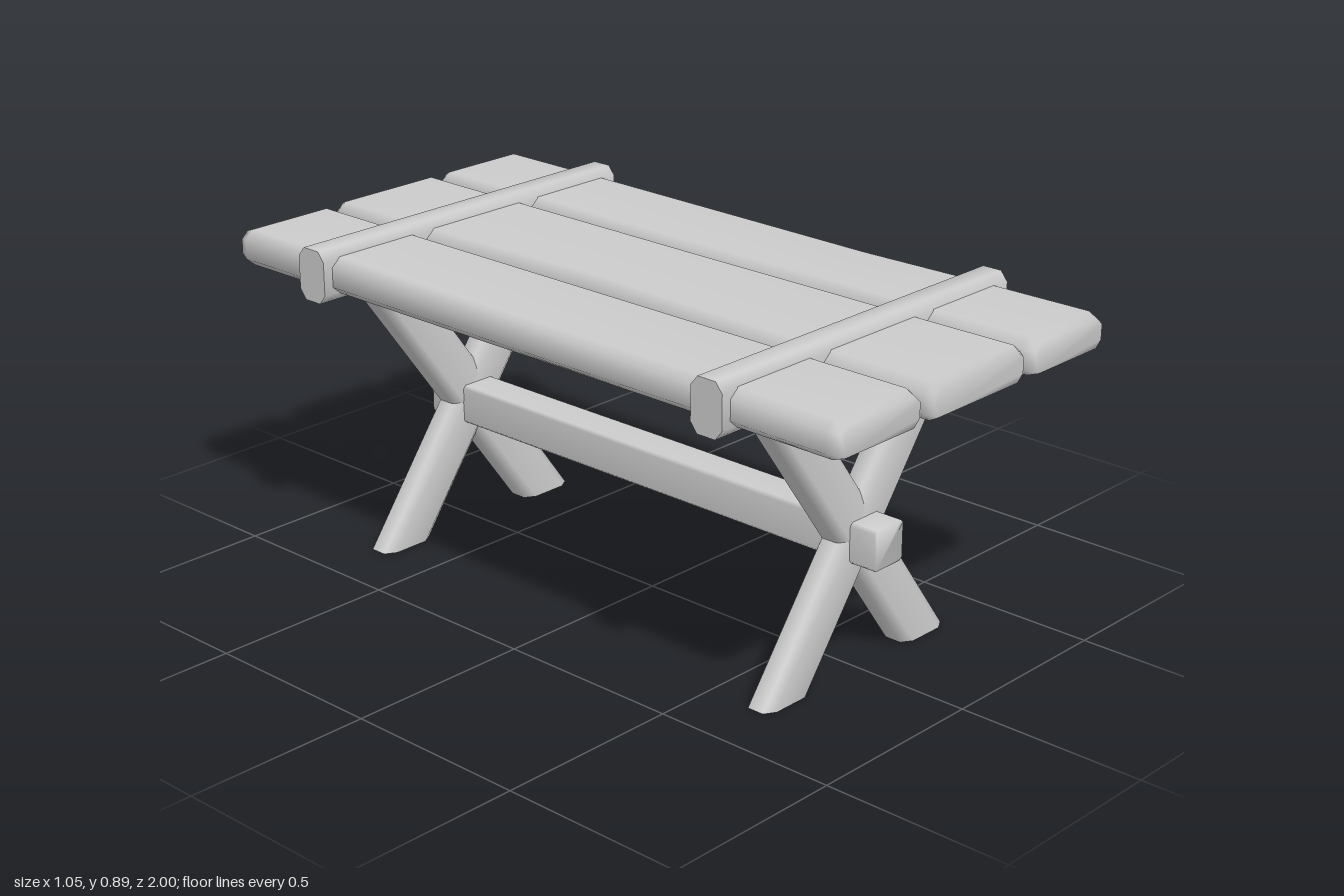
import * as THREE from 'three';

const material = new THREE.MeshStandardMaterial({ color: 0xcccccc });

// Axis orders: map (u, v, t) of a beam, t running along its length, to x, y, z
const alongX = (u, v, t) => [t, u, v];
const alongY = (u, v, t) => [v, t, u];
const alongZ = (u, v, t) => [u, v, t];

// Chamfered beam through sections [t, u0, u1, v0, v1, chamferU, chamferV]
function beam(name, place, sections, flatCaps = false) {
  const pos = [], index = [];
  const addRing = ([t, u0, u1, v0, v1, cu, cv]) => {
    const ring = [
      [u0 + cu, v0], [u1 - cu, v0], [u1, v0 + cv], [u1, v1 - cv],
      [u1 - cu, v1], [u0 + cu, v1], [u0, v1 - cv], [u0, v0 + cv],
    ];
    const start = pos.length / 3;
    for (const [u, v] of ring) pos.push(...place(u, v, t));
    return start;
  };
  const starts = sections.map(addRing);
  for (let s = 0; s + 1 < starts.length; s++) {
    for (let i = 0; i < 8; i++) {
      const j = (i + 1) % 8;
      const a = starts[s] + i, b = starts[s] + j;
      const c = starts[s + 1] + j, d = starts[s + 1] + i;
      index.push(a, b, c, a, c, d);
    }
  }
  const last = sections.length - 1;
  const first = flatCaps ? addRing(sections[0]) : starts[0];
  const end = flatCaps ? addRing(sections[last]) : starts[last];
  for (let i = 1; i < 7; i++) {
    index.push(first, first + i + 1, first + i);
    index.push(end, end + i, end + i + 1);
  }
  const geometry = new THREE.BufferGeometry();
  geometry.setAttribute('position', new THREE.Float32BufferAttribute(pos, 3));
  geometry.setIndex(index);
  geometry.computeVertexNormals();
  const mesh = new THREE.Mesh(geometry, material);
  mesh.name = name;
  return mesh;
}

// Plank along z; rows are [z, left edge, right edge], ends slightly pinched
function plank(name, rows) {
  const end = ([z, x0, x1]) =>
    [Math.sign(z), x0 + 0.012, x1 - 0.012, 0.78, 0.855, 0.02, 0.018];
  const body = rows.map(([z, x0, x1]) => [z, x0, x1, 0.77, 0.866, 0.026, 0.022]);
  return beam(name, alongZ, [end(rows[0]), ...body, end(rows[rows.length - 1])]);
}

// One X-shaped trestle with its cross bar over the planks
function trestle(name, z) {
  const group = new THREE.Group();
  group.name = name;
  for (const side of [1, -1]) {
    const section = (y) => {
      const x = side * (0.26 - 0.733 * y);
      return [y, -0.041, 0.041, x - 0.081, x + 0.081, 0.018, 0.03];
    };
    group.add(beam(side > 0 ? 'leftFootLeg' : 'rightFootLeg', alongY,
      [section(0), section(0.36), section(0.79)], true));
  }
  const bar = (x) => [x, 0.75, 0.888, -0.047, 0.047, 0.025, 0.02];
  group.add(beam('crossBar', alongX, [-0.523, -0.49, 0.49, 0.523].map(bar), true));
  group.position.z = z;
  return group;
}

export function createModel() {
  const model = new THREE.Group();
  model.name = 'trestleTable';

  // Table top
  model.add(plank('rightPlank', [
    [-0.97, -0.498, -0.197], [-0.6, -0.495, -0.197], [0.6, -0.495, -0.197], [0.97, -0.498, -0.197],
  ]));
  model.add(plank('middlePlank', [
    [-0.98, -0.175, 0.187], [-0.6, -0.175, 0.185], [-0.05, -0.155, 0.183],
    [0.6, -0.175, 0.185], [0.98, -0.175, 0.187],
  ]));
  model.add(plank('leftPlank', [
    [-0.98, 0.204, 0.502], [-0.6, 0.204, 0.5], [0.3, 0.207, 0.485],
    [0.6, 0.206, 0.495], [0.97, 0.206, 0.5],
  ]));

  // Supports
  model.add(trestle('frontTrestle', 0.65));
  model.add(trestle('backTrestle', -0.68));

  // Stretcher joining the two trestles
  const stretcher = (z) => [z, -0.055, 0.052, 0.297, 0.403, 0.008, 0.008];
  model.add(beam('stretcher', alongZ, [-0.76, -0.7, 0.7, 0.765].map(stretcher)));

  return model;
}
